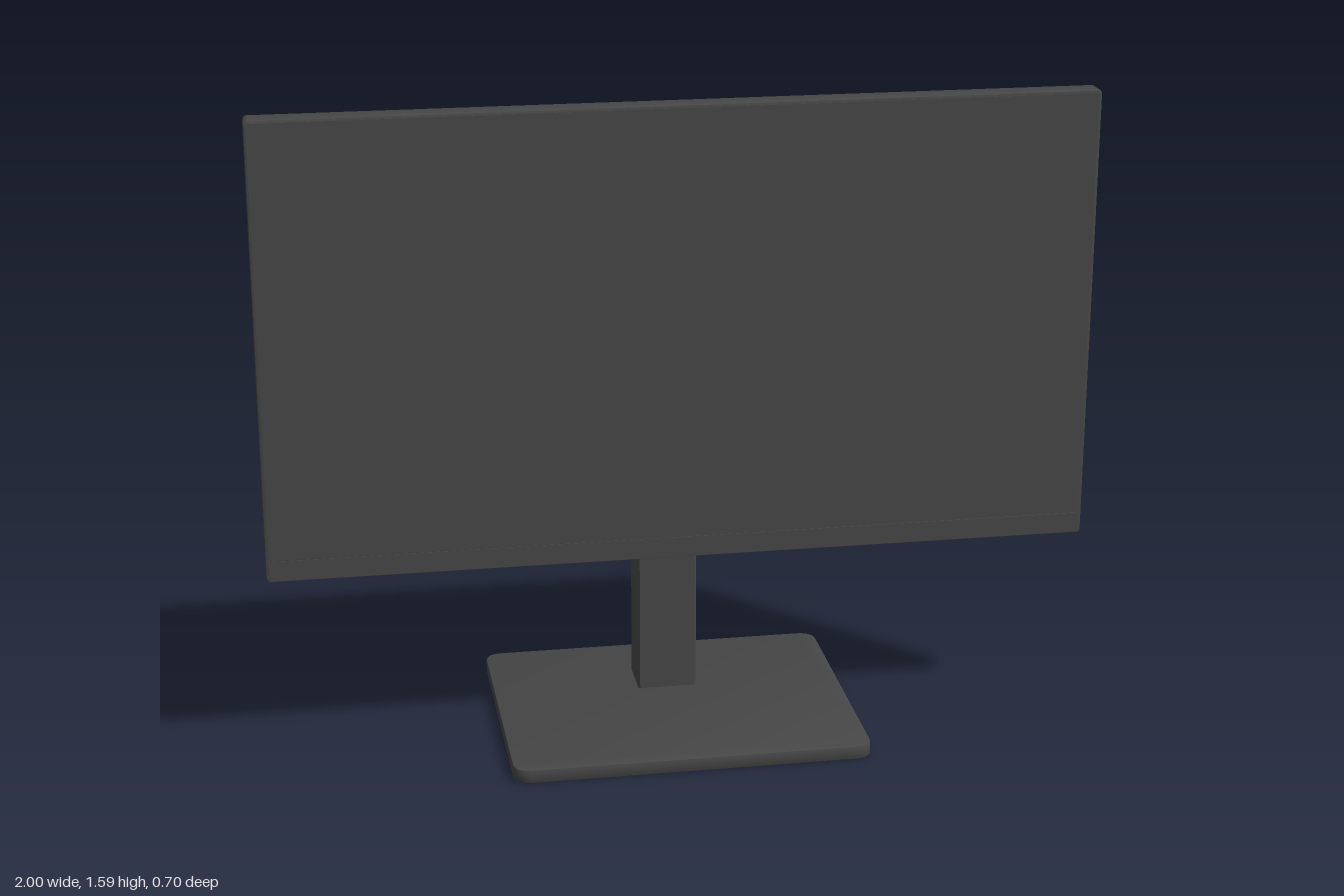
import * as THREE from 'three';
import { toCreasedNormals } from 'three/addons/utils/BufferGeometryUtils.js';

const charcoal = new THREE.MeshStandardMaterial({ color: 0x474747 });
charcoal.name = 'charcoal plastic';

// Rounded rectangle centred on the origin
function roundedRect(w, h, r) {
  const s = new THREE.Shape(), x = w / 2, y = h / 2;
  s.moveTo(-x + r, -y);
  s.lineTo(x - r, -y);
  s.quadraticCurveTo(x, -y, x, -y + r);
  s.lineTo(x, y - r);
  s.quadraticCurveTo(x, y, x - r, y);
  s.lineTo(-x + r, y);
  s.quadraticCurveTo(-x, y, -x, y - r);
  s.lineTo(-x, -y + r);
  s.quadraticCurveTo(-x, -y, -x + r, -y);
  return s;
}

// Slab of full size w x h x d along z, with chamfered rims
function slab(w, h, d, r, bevel) {
  const g = new THREE.ExtrudeGeometry(roundedRect(w - 2 * bevel, h - 2 * bevel, r), {
    depth: d - 2 * bevel, bevelThickness: bevel, bevelSize: bevel, bevelSegments: 2, curveSegments: 6,
  });
  g.translate(0, 0, -d / 2 + bevel);
  return toCreasedNormals(g, 0.6);
}

// Side profile in (z, y), extruded across x
function sideProfile(shape, width, bevel) {
  const g = new THREE.ExtrudeGeometry(shape, {
    depth: width - 2 * bevel, bevelThickness: bevel, bevelSize: bevel, bevelOffset: -bevel,
    bevelSegments: 1, curveSegments: 8,
  });
  g.translate(0, 0, -width / 2 + bevel);
  g.rotateY(-Math.PI / 2);
  return toCreasedNormals(g, 0.6);
}

export function createModel() {
  const model = new THREE.Group();
  model.name = 'monitor';
  const add = (name, geometry, x, y, z) => {
    const mesh = new THREE.Mesh(geometry, charcoal);
    mesh.name = name;
    mesh.position.set(x, y, z);
    model.add(mesh);
    return mesh;
  };

  // Display housing, with a slim chin below the screen
  add('displayHousing', slab(2, 1.115, 0.064, 0.005, 0.006), 0, 1.0275, 0.106);
  add('screen', new THREE.BoxGeometry(1.984, 1.052, 0.004), 0, 1.052, 0.137);
  add('chin', new THREE.BoxGeometry(1.984, 0.05, 0.006), 0, 0.499, 0.137);

  // Raised panel on the back, tapering toward its rear face
  const panel = new THREE.BoxGeometry(0.92, 0.68, 0.02);
  const p = panel.attributes.position;
  for (let i = 0; i < p.count; i++) {
    if (p.getZ(i) < 0) p.setXY(i, p.getX(i) * 0.97, p.getY(i) * 0.96);
  }
  panel.computeVertexNormals();
  add('backPanel', panel, 0, 1.045, 0.068);

  // Upright with a forward-leaning neck
  const neck = new THREE.Shape();
  neck.moveTo(-0.07, 0.03);
  neck.lineTo(-0.07, 0.722);
  neck.lineTo(-0.016, 0.722);
  neck.lineTo(-0.002, 1.015);
  neck.lineTo(0.052, 1.02);
  neck.lineTo(0.052, 1.238);
  neck.lineTo(0.005, 1.24);
  neck.quadraticCurveTo(-0.022, 1.238, -0.03, 1.21);
  neck.lineTo(-0.07, 1.06);
  neck.quadraticCurveTo(-0.085, 1.01, -0.125, 0.93);
  neck.lineTo(-0.178, 0.842);
  neck.quadraticCurveTo(-0.192, 0.82, -0.192, 0.79);
  neck.lineTo(-0.192, 0.03);
  neck.closePath();
  add('standNeck', sideProfile(neck, 0.148, 0.004), -0.004, 0, 0);

  // Slightly wider tilt hinge that meets the back panel
  const hinge = new THREE.Shape();
  hinge.moveTo(0.06, 1.02);
  hinge.lineTo(0.06, 1.215);
  hinge.lineTo(0.02, 1.205);
  hinge.lineTo(-0.015, 1.17);
  hinge.lineTo(-0.002, 1.017);
  hinge.closePath();
  add('tiltHinge', sideProfile(hinge, 0.17, 0.003), -0.004, 0, 0);

  // Flat foot plate
  const foot = slab(0.876, 0.7, 0.034, 0.04, 0.004);
  foot.rotateX(-Math.PI / 2);
  add('footPlate', foot, -0.004, 0.017, 0);

  return model;
}
